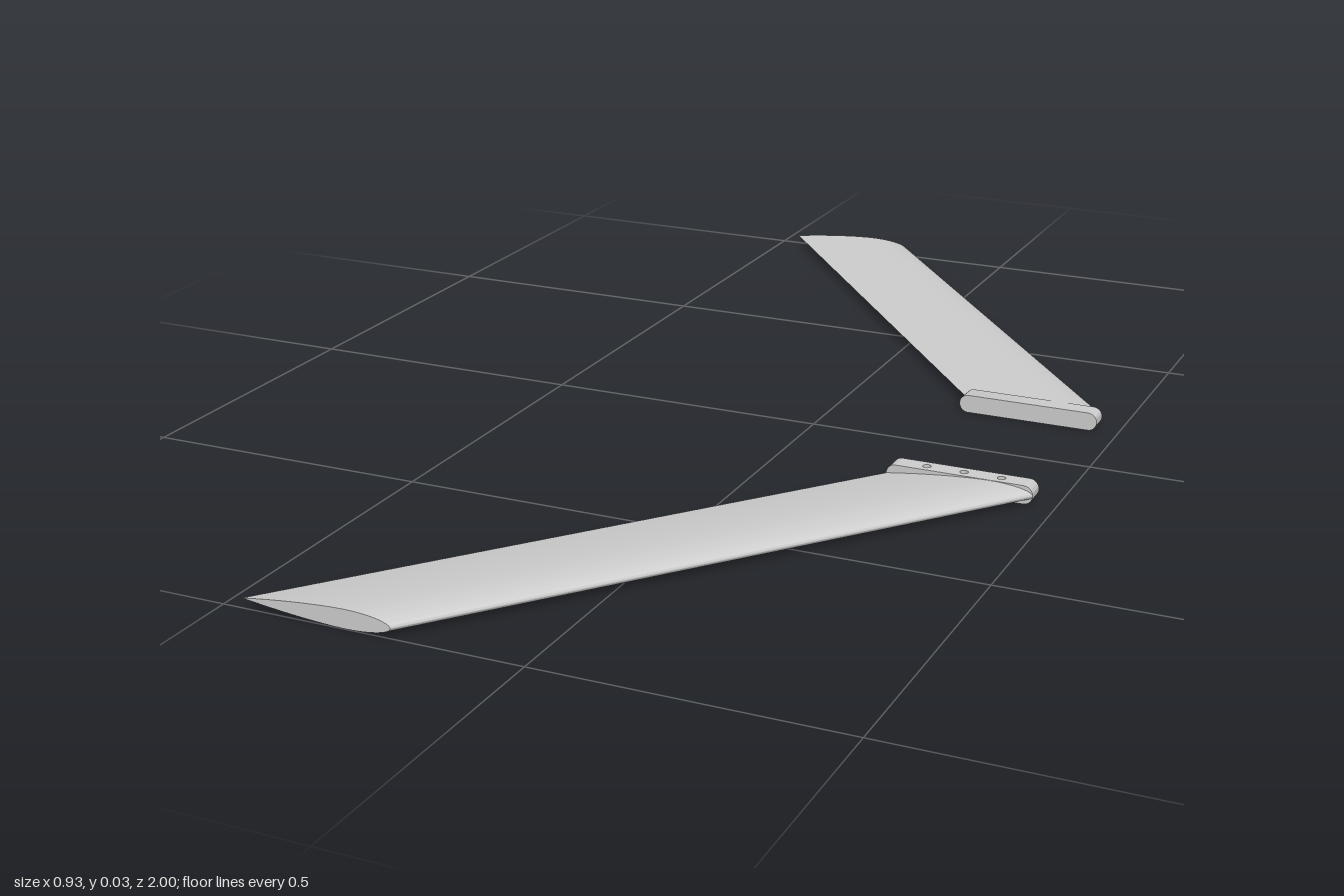
import * as THREE from 'three';
import { toCreasedNormals } from 'three/addons/utils/BufferGeometryUtils.js';

const H = 0.032, R = H / 2;            // overall thickness
const TRAIL = 0.212, NOSE = 0.463;     // chord at the root
const INNER = 0.16, ROOT = 0.193;      // span of the root fitting
const SWEEP = 0.678 / (1 - ROOT);      // backward shift per unit of span

const material = new THREE.MeshStandardMaterial({ color: 0xcccccc });

function addMesh(group, geometry, name) {
  const mesh = new THREE.Mesh(toCreasedNormals(geometry, 0.6), material);
  mesh.name = name;
  group.add(mesh);
}

// Half thickness of the symmetric airfoil, u = 0 at the nose, 1 at the tail
function halfThickness(u) {
  const h = R - 0.0006;
  return u < 0.3
    ? h * Math.sqrt(1 - (1 - u / 0.3) ** 2)
    : h * (1 - ((u - 0.3) / 0.7) ** 1.6);
}

// Airfoil extruded along the span, then sheared for the sweep
function wingGeometry() {
  const n = 32, points = [];
  for (let i = -n; i < n; i++) {
    const u = 1 - Math.cos((Math.abs(i) / n) * Math.PI / 2);
    const y = R - Math.sign(i) * halfThickness(u);
    points.push(new THREE.Vector2(NOSE - u * (NOSE - TRAIL), y));
  }
  const geometry = new THREE.ExtrudeGeometry(new THREE.Shape(points), {
    depth: 1 - ROOT, bevelEnabled: false,
  });
  const p = geometry.attributes.position;
  for (let i = 0; i < p.count; i++) p.setX(i, p.getX(i) - p.getZ(i) * SWEEP);
  return geometry.translate(0, 0, ROOT);
}

// Round-ended bar with a notch in its upper half for the drilled plate
function fittingGeometry() {
  const a = TRAIL + R, b = NOSE - R;
  const s = new THREE.Shape();
  s.moveTo(a, 0);
  s.lineTo(b, 0);
  s.absarc(b, R, R, -Math.PI / 2, Math.PI / 2, false);
  s.lineTo(b, R);
  s.lineTo(a, R);
  s.lineTo(a, H);
  s.absarc(a, R, R, Math.PI / 2, Math.PI * 1.5, false);
  return new THREE.ExtrudeGeometry(s, {
    depth: ROOT - INNER, bevelEnabled: false, curveSegments: 16,
  }).translate(0, 0, INNER);
}

// Plate with three blind screw holes
function plateGeometry() {
  const a = TRAIL + R, b = NOSE - R;
  const s = new THREE.Shape([
    new THREE.Vector2(a, -ROOT), new THREE.Vector2(b, -ROOT),
    new THREE.Vector2(b, -INNER), new THREE.Vector2(a, -INNER),
  ]);
  for (const x of [0.277, 0.341, 0.405]) {
    s.holes.push(new THREE.Path().absarc(x, -0.177, 0.007, 0, Math.PI * 2, true));
  }
  return new THREE.ExtrudeGeometry(s, {
    depth: R, bevelEnabled: false, curveSegments: 16,
  }).rotateX(-Math.PI / 2).translate(0, R, 0);
}

export function createModel() {
  const model = new THREE.Group();
  model.name = 'sweptWingPair';

  const wing = new THREE.Group();
  wing.name = 'frontWing';
  addMesh(wing, wingGeometry(), 'wingPanel');
  addMesh(wing, fittingGeometry(), 'rootFitting');
  addMesh(wing, plateGeometry(), 'drilledPlate');

  // The opposite wing is the same part turned over
  const opposite = wing.clone();
  opposite.name = 'backWing';
  opposite.rotation.x = Math.PI;
  opposite.position.y = H;

  model.add(wing, opposite);
  return model;
}
